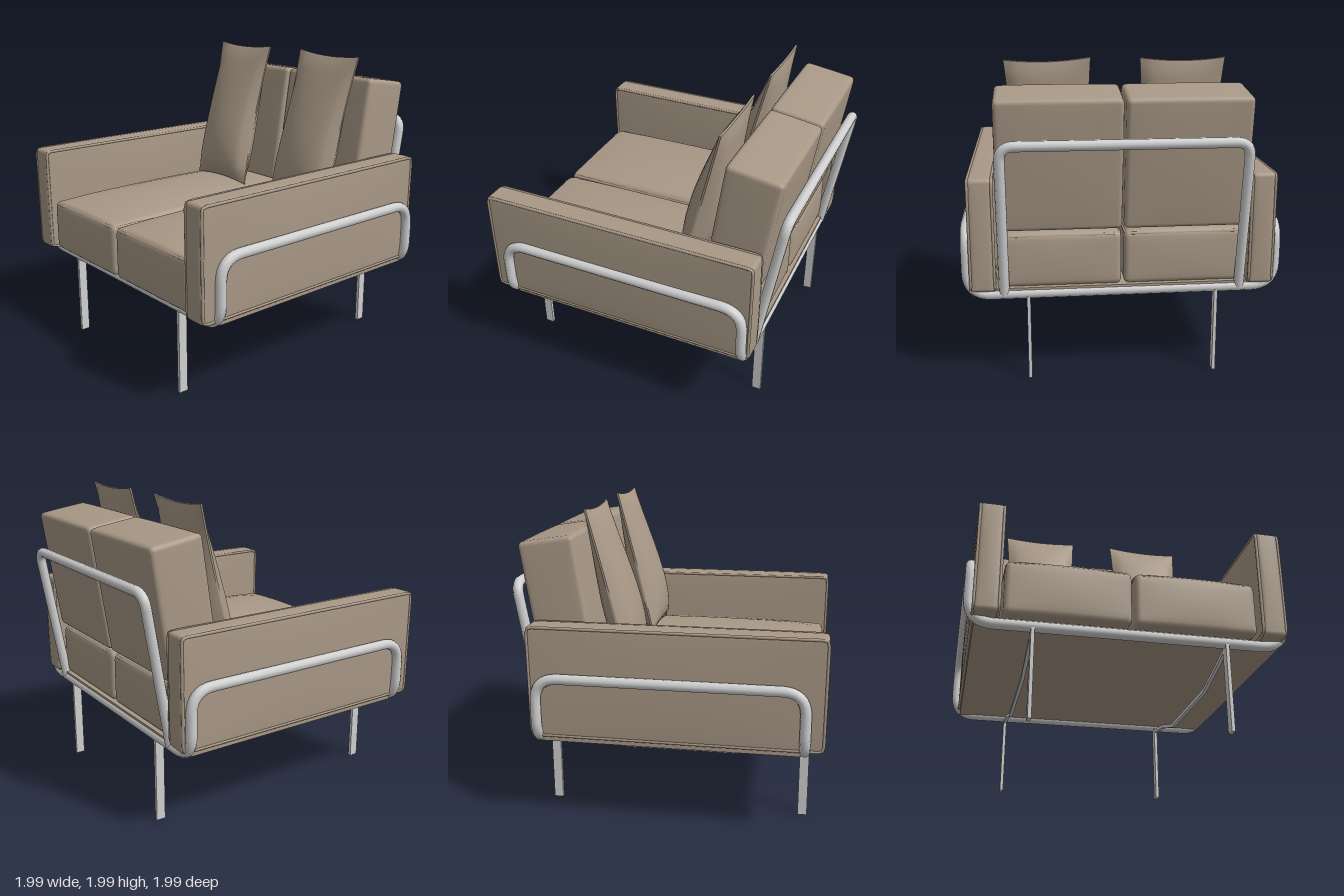
import * as THREE from 'three';
import { mergeVertices } from 'three/addons/utils/BufferGeometryUtils.js';

const V = (x, y, z) => new THREE.Vector3(x, y, z);

// Path of straight runs with rounded corners
function roundedPath(points, radius, closed) {
  const path = new THREE.CurvePath();
  const n = points.length;
  const toward = (a, b) => a.clone().add(b.clone().sub(a).setLength(Math.min(radius, a.distanceTo(b) * 0.45)));
  const start = closed ? points[0].clone().lerp(points[n - 1], 0.5) : points[0];
  let last = start;
  for (let i = closed ? 0 : 1; i < (closed ? n : n - 1); i++) {
    const p = points[i];
    const a = toward(p, points[(i + n - 1) % n]);
    const b = toward(p, points[(i + 1) % n]);
    path.add(new THREE.LineCurve3(last, a));
    path.add(new THREE.QuadraticBezierCurve3(a, p, b));
    last = b;
  }
  path.add(new THREE.LineCurve3(last, closed ? start : points[n - 1]));
  return path;
}

// Box with rounded edges and softly puffed faces
function cushionGeometry(w, h, d, r, puff) {
  const N = 12, k = 2 / 3;
  const geo = new THREE.BoxGeometry(2, 2, 2, N, N, N);
  geo.deleteAttribute('uv');
  geo.deleteAttribute('normal');
  const pos = geo.attributes.position;
  const half = V(w / 2, h / 2, d / 2);
  const core = half.clone().subScalar(r);
  const spread = (t, c) => {
    const a = Math.abs(t);
    return Math.sign(t) * (a <= k ? (a / k) * c : c + ((a - k) / (1 - k)) * r);
  };
  for (let i = 0; i < pos.count; i++) {
    const p = V(spread(pos.getX(i), core.x), spread(pos.getY(i), core.y), spread(pos.getZ(i), core.z));
    const inner = p.clone().clamp(core.clone().negate(), core);
    p.sub(inner).setLength(r).add(inner);
    const u = p.clone().divide(half);
    const [fx, fy, fz] = [1 - u.x * u.x, 1 - u.y * u.y, 1 - u.z * u.z];
    p.x += u.x * puff[0] * fy * fz;
    p.y += Math.max(u.y, 0) * puff[1] * Math.sqrt(Math.max(fx * fz, 0));
    p.z += u.z * puff[2] * fx * fy;
    pos.setXYZ(i, p.x, p.y, p.z);
  }
  const out = mergeVertices(geo, 1e-5);
  out.computeVertexNormals();
  return out;
}

// Throw pillow: two bulged sheets with pinched edges and pointed corners
function pillowGeometry(w, h, amount) {
  const geo = new THREE.BoxGeometry(2, 2, 2, 14, 18, 1);
  const pos = geo.attributes.position;
  for (let i = 0; i < pos.count; i++) {
    const u = pos.getX(i), v = pos.getY(i), s = pos.getZ(i);
    const bulge = Math.sqrt(Math.max((1 - u * u) * (1 - v * v), 0)) * (1 - 0.5 * v);
    pos.setXYZ(i,
      u * w / 2 * (1 - 0.07 * (1 - v * v)),
      v * h / 2 * (1 - 0.04 * (1 - u * u)),
      s * (0.006 + amount * bulge));
  }
  geo.computeVertexNormals();
  return geo;
}

export function createModel() {
  const model = new THREE.Group();
  model.name = 'loungeChair';
  const fabric = new THREE.MeshStandardMaterial({ color: 0xa89886 });
  fabric.name = 'taupe fabric';
  const metal = new THREE.MeshStandardMaterial({ color: 0xcfcfcf });
  metal.name = 'light metal';

  const add = (name, geo, mat, x = 0, y = 0, z = 0) => {
    const mesh = new THREE.Mesh(geo, mat);
    mesh.name = name;
    mesh.position.set(x, y, z);
    model.add(mesh);
    return mesh;
  };
  const tube = (name, pts, corner, r, closed, mat, segs) =>
    add(name, new THREE.TubeGeometry(roundedPath(pts, corner, closed), segs, r, 10, closed), mat);

  // Continuous tube: front rail, side loops and rear rail
  const sx = 0.965, low = 0.565, top = 0.985, zf = 0.86, zb = -0.8;
  tube('tubeFrame', [
    V(-sx, low, zf), V(sx, low, zf), V(sx, top, zf), V(sx, top, zb),
    V(sx, low, zb), V(-sx, low, zb), V(-sx, top, zb), V(-sx, top, zf),
  ], 0.15, 0.034, true, metal, 320);

  // Leaning back support
  tube('backFrame', [
    V(-0.74, low, -0.805), V(-0.74, 1.525, -0.965), V(0.74, 1.525, -0.965), V(0.74, low, -0.805),
  ], 0.09, 0.033, false, metal, 160);

  // Flat legs and the bent straps joining them
  const line = [[zf, 0.53], [0.42, 0.42], [-0.31, 0.42], [-0.56, 0.495], [zb, 0.53]];
  const strap = new THREE.Shape([
    ...line.map(([z, y]) => new THREE.Vector2(z, y + 0.012)),
    ...line.slice().reverse().map(([z, y]) => new THREE.Vector2(z, y - 0.014)),
  ]);
  for (const x of [-0.59, 0.59]) {
    for (const z of [zf, zb]) add('leg', new THREE.BoxGeometry(0.022, 0.55, 0.06), metal, x, 0.275, z);
    const geo = new THREE.ExtrudeGeometry(strap, { depth: 0.022, bevelEnabled: false });
    geo.rotateY(-Math.PI / 2);
    add('underStrap', geo, metal, x + 0.011, 0, 0);
  }

  // Base panel
  add('basePanel', new THREE.BoxGeometry(1.86, 0.045, 1.66), fabric, 0, 0.583, 0.01);

  for (const s of [-1, 1]) {
    // Arm with piped edges
    add('armrest', cushionGeometry(0.155, 0.715, 1.83, 0.025, [0.012, 0.004, 0.01]), fabric, s * 0.868, 0.95, 0.065);
    for (const x of [0.796, 0.94]) {
      tube('armPiping', [
        V(s * x, 0.602, 0.972), V(s * x, 1.3, 0.975), V(s * x, 1.3, -0.845), V(s * x, 0.602, -0.84),
      ], 0.03, 0.01, true, fabric, 160);
    }

    // Seat cushion with piped top edge
    add('seatCushion', cushionGeometry(0.762, 0.34, 1.75, 0.035, [0.004, 0.065, 0.012]), fabric, s * 0.389, 0.77, 0.075);
    tube('seatPiping', [
      V(s * 0.018, 0.928, 0.938), V(s * 0.76, 0.928, 0.938), V(s * 0.76, 0.928, -0.788), V(s * 0.018, 0.928, -0.788),
    ], 0.05, 0.01, true, fabric, 160);

    // Back cushion
    const back = add('backCushion', cushionGeometry(0.765, 0.83, 0.355, 0.03, [0.004, 0.008, 0.012]), fabric, s * 0.389, 1.4, -0.7);
    back.rotation.x = -0.15;
  }

  // Throw pillows
  for (const [x, roll] of [[-0.4, 0], [0.43, -0.025]]) {
    const pillow = add('throwPillow', pillowGeometry(0.535, 1.03, 0.1), fabric, x, 1.485, -0.405);
    pillow.rotation.set(-0.245, 0, roll);
  }
  return model;
}
